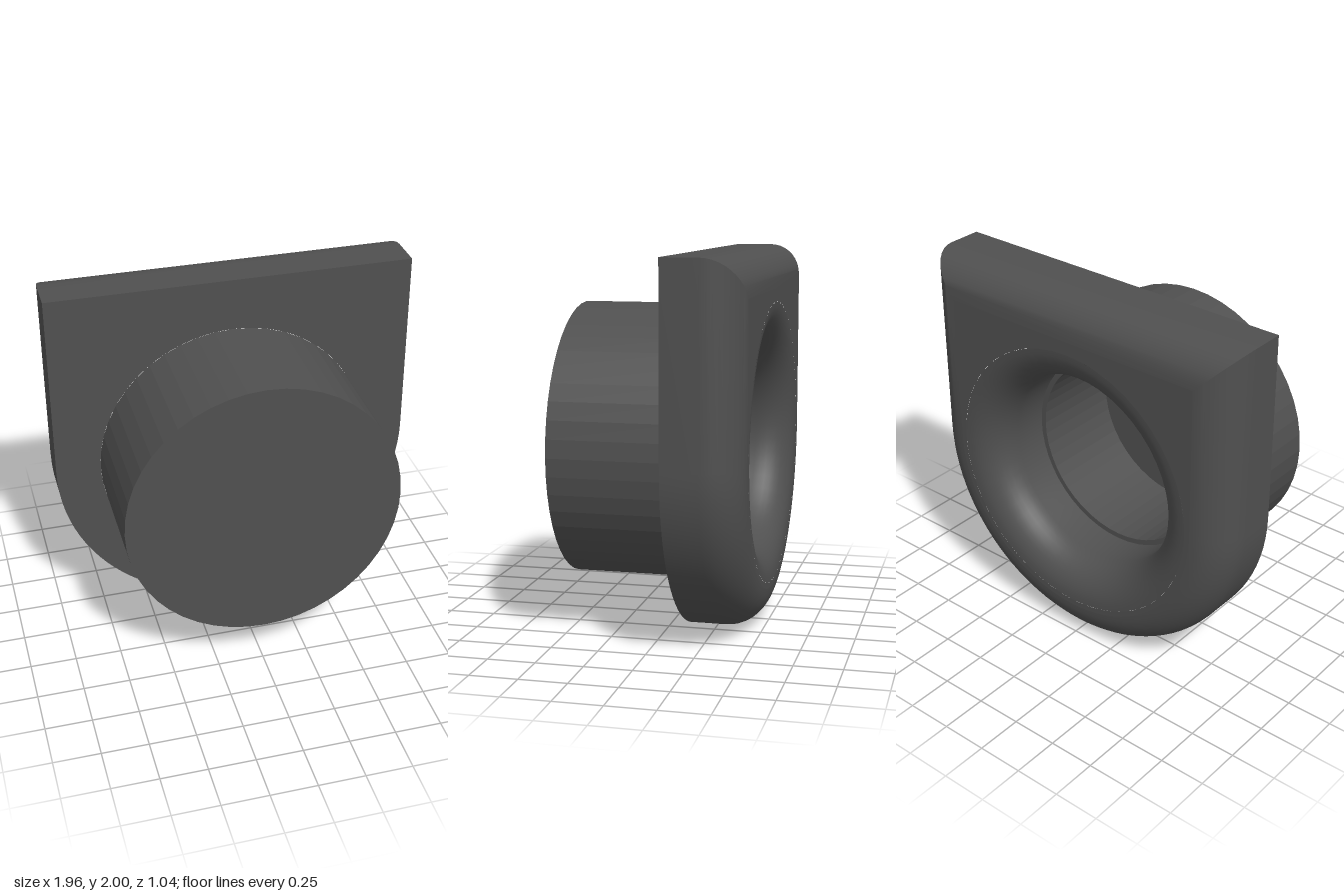
import * as THREE from 'three';
import { toCreasedNormals } from 'three/addons/utils/BufferGeometryUtils.js';

const R = 0.98, CY = 0.98, TOP = 2;            // plate half width, axis height, plate top
const FRONT = -0.13, BACK = -0.52, FILLET = 0.2;
const HOLE = 0.55, BORE = 0.52, BARREL = 0.738;
const SIDES = 48, STEPS = 10;

// U-shaped outline, shrunk by an inset, counter-clockwise from the front
function outline(inset) {
  const r = R - inset, pts = [];
  for (let i = 0; i <= SIDES; i++) {
    const a = Math.PI * (1 + i / SIDES);
    pts.push(new THREE.Vector2(r * Math.cos(a), CY + r * Math.sin(a)));
  }
  pts.push(new THREE.Vector2(r, TOP - inset), new THREE.Vector2(-r, TOP - inset));
  return pts;
}

// Quarter-round steps: inset from the edge and depth
function filletSteps() {
  const steps = [{ d: 0, z: FRONT }];
  for (let k = 0; k <= STEPS; k++) {
    const t = (k / STEPS) * Math.PI / 2;
    steps.push({ d: FILLET * (1 - Math.cos(t)), z: BACK + FILLET * (1 - Math.sin(t)) });
  }
  return steps;
}

// Outer rim with its rounded back edge
function rimGeometry() {
  const pos = [], idx = [], rings = filletSteps();
  let n = 0;
  rings.forEach(({ d, z }) => {
    const pts = outline(d);
    n = pts.length;
    pts.forEach(p => pos.push(p.x, p.y, z));
  });
  for (let k = 0; k < rings.length - 1; k++) {
    for (let i = 0; i < n; i++) {
      const a = k * n + i, b = k * n + (i + 1) % n;
      idx.push(a, a + n, b, b, a + n, b + n);
    }
  }
  const g = new THREE.BufferGeometry();
  g.setAttribute('position', new THREE.Float32BufferAttribute(pos, 3));
  g.setIndex(idx);
  return toCreasedNormals(g, 0.5);
}

// Flat face of the plate with a round hole
function faceGeometry(inset, holeRadius) {
  const shape = new THREE.Shape(outline(inset));
  shape.holes.push(new THREE.Path().absarc(0, CY, holeRadius, 0, Math.PI * 2, true));
  return new THREE.ShapeGeometry(shape, SIDES);
}

// Lathe around the z axis; each profile point is [radius, z]
function turned(profile) {
  const g = new THREE.LatheGeometry(profile.map(p => new THREE.Vector2(...p)), SIDES);
  return g.rotateX(Math.PI / 2).translate(0, CY, 0);
}

export function createModel() {
  const model = new THREE.Group();
  const darkGrey = new THREE.MeshStandardMaterial({ color: 0x505050 });
  darkGrey.name = 'darkGrey';
  const add = (name, geometry, parent) => {
    const mesh = new THREE.Mesh(geometry, darkGrey);
    mesh.name = name;
    parent.add(mesh);
    return mesh;
  };

  // Mounting plate
  const plate = new THREE.Group();
  plate.name = 'plate';
  model.add(plate);
  add('plateRim', rimGeometry(), plate);
  add('plateFront', faceGeometry(0, BARREL), plate).position.z = FRONT;
  const backFace = faceGeometry(FILLET, HOLE + FILLET);
  backFace.rotateY(Math.PI);
  add('plateBack', backFace, plate).position.z = BACK;
  add('plateHole', toCreasedNormals(
    turned(filletSteps().map(({ d, z }) => [HOLE + d, z])), 0.5), plate);

  // Closed barrel with a blind bore and a narrow ledge at its mouth
  const barrel = turned([
    [0, 0.39], [BORE, 0.39], [BORE, FRONT], [BARREL, FRONT], [BARREL, 0.52], [0, 0.52],
  ]).toNonIndexed();
  barrel.computeVertexNormals();
  add('barrel', barrel, model);

  return model;
}
